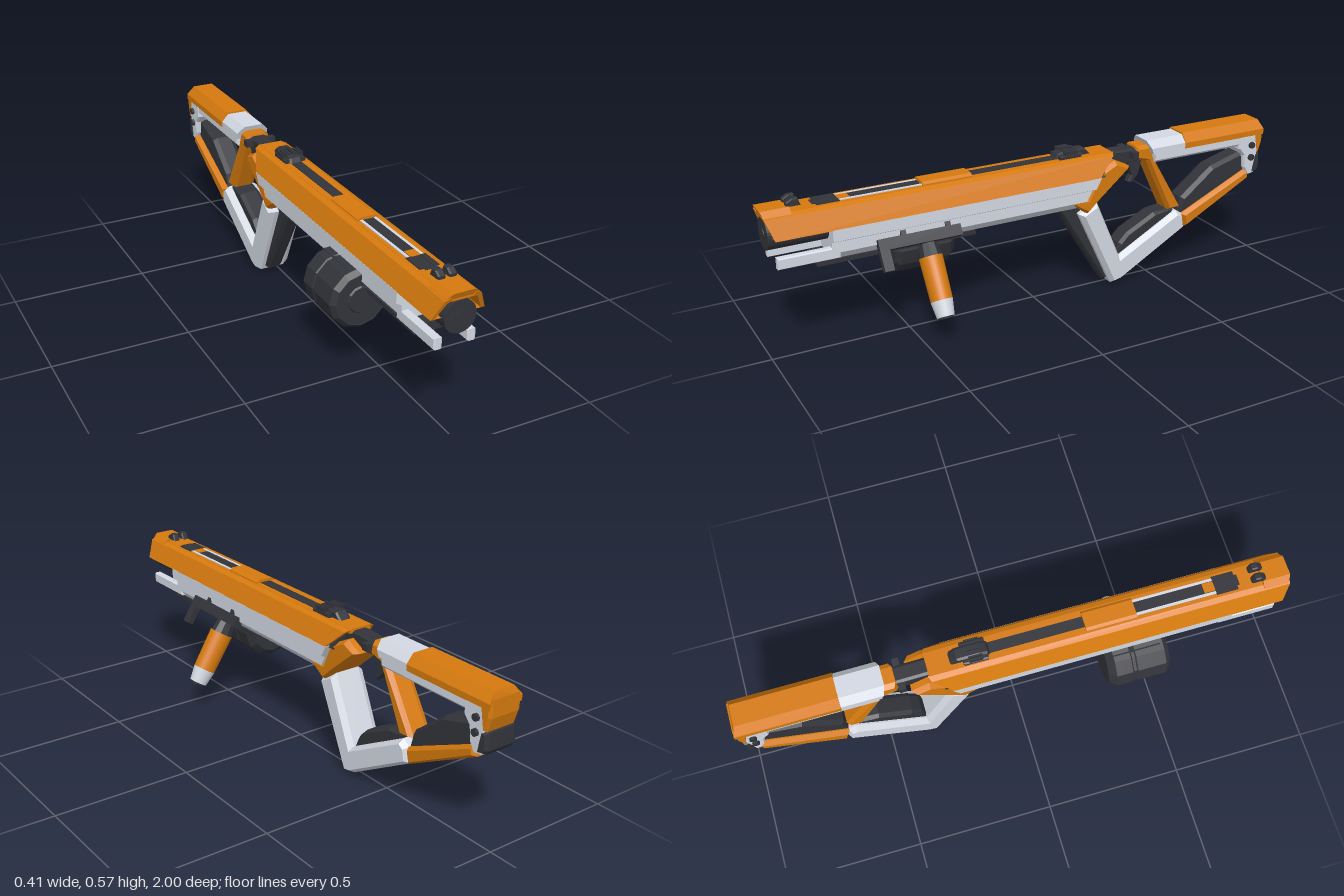
import * as THREE from 'three';

const CX = -0.019; // centre plane of the body
const paint = (color, flat = true) =>
  new THREE.MeshStandardMaterial({ color, flatShading: flat, side: THREE.DoubleSide });
const ORANGE = paint(0xd67a0e), PALE = paint(0xd4d9e3), DARK = paint(0x33343a);
const ORANGE_SMOOTH = paint(0xd67a0e, false), PALE_SMOOTH = paint(0xd4d9e3, false);

export function createModel() {
  const root = new THREE.Group();

  const add = (name, geo, mat, parent = root) => {
    const m = new THREE.Mesh(geo, mat);
    m.name = name;
    parent.add(m);
    return m;
  };
  const shapeOf = (pts) => new THREE.Shape(pts.map(([a, b]) => new THREE.Vector2(a, b)));

  // Side profile of [z, y] points, given a width across x and a chamfer
  const plate = (name, mat, pts, width, bevel = 0.012, x = CX) => {
    const g = new THREE.ExtrudeGeometry(shapeOf(pts), {
      depth: width - 2 * bevel, bevelEnabled: bevel > 0, bevelSegments: 1,
      bevelThickness: bevel, bevelSize: bevel * 0.6, bevelOffset: -bevel * 0.6,
    });
    g.translate(0, 0, -(width - 2 * bevel) / 2).rotateY(-Math.PI / 2).translate(x, 0, 0);
    return add(name, g, mat);
  };

  // Mirrored half section of [x, y] points, run along z; ends may slope with y
  const beam = (name, mat, half, z0, z1, slope0 = () => 0, slope1 = () => 0) => {
    const pts = [...half, ...half.map(([x, y]) => [-x, y]).reverse()];
    const g = new THREE.ExtrudeGeometry(shapeOf(pts), { depth: 1, bevelEnabled: false });
    const p = g.attributes.position;
    for (let i = 0; i < p.count; i++) {
      const y = p.getY(i);
      p.setX(i, p.getX(i) + CX);
      p.setZ(i, p.getZ(i) < 0.5 ? z0 + slope0(y) : z1 + slope1(y));
    }
    return add(name, g, mat);
  };

  const box = (name, mat, x0, x1, y0, y1, z0, z1, parent = root) => {
    const g = new THREE.BoxGeometry(x1 - x0, y1 - y0, z1 - z0);
    g.translate((x0 + x1) / 2, (y0 + y1) / 2, (z0 + z1) / 2);
    return add(name, g, mat, parent);
  };
  const rodZ = (name, mat, r, x, y, z0, z1, n = 32) => {
    const g = new THREE.CylinderGeometry(r, r, z1 - z0, n);
    g.rotateX(Math.PI / 2).translate(x, y, (z0 + z1) / 2);
    return add(name, g, mat);
  };

  // Upper shell, open underneath, with raked ends
  beam('upperShell', ORANGE,
    [[0.094, 0.455], [0.063, 0.522], [0.042, 0.531], [0.036, 0.518], [0.052, 0.512], [0.081, 0.455]].reverse(),
    -0.24, 0.97, (y) => -(y - 0.455) * 1.05, (y) => (y - 0.455) * 0.36);
  beam('shellTop', ORANGE, [[0.044, 0.515], [0.044, 0.531]], -0.315, 0.99);
  beam('muzzleHood', ORANGE, [[0.058, 0.51], [0.058, 0.525], [0.036, 0.544]], 0.9, 0.985,
    () => 0, (y) => (y - 0.51) * 0.44);

  // Lower body
  beam('lowerBody', PALE,
    [[0.05, 0.338], [0.074, 0.366], [0.074, 0.405], [0.094, 0.415], [0.094, 0.456]],
    -0.18, 0.78, (y) => -(y - 0.338) * 0.55);
  beam('innerCore', DARK, [[0.078, 0.45], [0.05, 0.515]], -0.27, 0.77);
  for (const s of [-1, 1]) {
    const x = CX + s * 0.059;
    plate('frontRail', PALE, [[0.75, 0.345], [0.965, 0.345], [0.965, 0.385], [0.75, 0.385]], 0.03, 0.006, x);
  }

  // Barrel
  rodZ('barrel', DARK, 0.056, CX, 0.453, 0.7, 0.985);
  rodZ('muzzleBore', DARK, 0.019, CX, 0.453, 0.98, 0.988, 20);

  // Underside rail
  box('underRail', DARK, CX - 0.057, CX + 0.057, 0.322, 0.338, 0.25, 0.83);
  box('underRailCore', DARK, CX - 0.037, CX + 0.037, 0.336, 0.352, 0.25, 0.83);

  // Top channel, cover and slot
  box('topChannel', DARK, CX - 0.02, CX + 0.02, 0.52, 0.533, -0.2, 0.25);
  beam('topCover', ORANGE, [[0.038, 0.525], [0.038, 0.535], [0.028, 0.543]], 0.25, 0.435);
  box('topSlot', DARK, CX - 0.02, CX + 0.02, 0.52, 0.533, 0.435, 0.82);
  box('slotBlock', ORANGE, CX - 0.018, CX + 0.018, 0.525, 0.535, 0.69, 0.73);
  for (const s of [-1, 1]) {
    box('slotEdge', PALE, CX + s * 0.025 - 0.005, CX + s * 0.025 + 0.005, 0.52, 0.534, 0.435, 0.73);
    box('slotStop', DARK, CX + s * 0.025 - 0.01, CX + s * 0.025 + 0.01, 0.52, 0.535, 0.73, 0.81);
  }

  // Sights
  plate('rearSightBase', DARK, [[-0.09, 0.53], [-0.1, 0.55], [-0.13, 0.556], [-0.21, 0.556], [-0.235, 0.53]], 0.05, 0.008);
  plate('rearSightWing', DARK, [[-0.1, 0.53], [-0.1, 0.544], [-0.19, 0.548], [-0.19, 0.53]], 0.084, 0.006);
  for (let i = -3; i <= 3; i++) {
    const x = CX + i * 0.0125;
    box('sightPin', DARK, x - 0.003, x + 0.003, 0.54, i === 0 ? 0.567 : 0.56, -0.17, -0.12);
  }
  for (const s of [-1, 1]) {
    const x = CX + s * 0.02;
    plate('frontSight', DARK, [[0.91, 0.54], [0.91, 0.555], [0.89, 0.567], [0.87, 0.567], [0.86, 0.54]], 0.026, 0.005, x);
  }

  // Drum and its feed block
  const drumProfile = [[0, 0], [0.085, 0], [0.11, 0.025], [0.11, 0.085], [0.106, 0.09], [0.106, 0.1],
    [0.11, 0.105], [0.11, 0.21], [0.094, 0.228], [0.094, 0.222], [0.05, 0.222], [0.045, 0.228], [0, 0.228]];
  const drum = new THREE.LatheGeometry(drumProfile.map(([r, h]) => new THREE.Vector2(r, h)), 12);
  drum.rotateX(Math.PI / 2).translate(-0.095, 0.301, 0.31);
  add('drum', drum, DARK);
  box('drumFeed', DARK, -0.13, 0.01, 0.31, 0.403, 0.33, 0.51);

  // Canted foregrip: local y runs along the handle
  const grip = new THREE.Group();
  grip.name = 'foregrip';
  grip.position.set(0.065, 0.285, 0.436);
  grip.rotation.z = 0.562;
  grip.scale.z = 0.88;
  root.add(grip);
  const section = (name, mat, rTop, rBottom, y0, y1, n) =>
    add(name, new THREE.CylinderGeometry(rTop, rBottom, y1 - y0, n).translate(0, (y0 + y1) / 2, 0), mat, grip);
  section('gripNeck', DARK, 0.03, 0.045, 0, 0.1, 10);
  section('gripSleeve', ORANGE_SMOOTH, 0.047, 0.044, -0.155, 0, 28);
  section('gripTip', PALE_SMOOTH, 0.044, 0.035, -0.213, -0.155, 28);
  section('gripCap', DARK, 0.031, 0.028, -0.219, -0.21, 20);

  // Foregrip mount on the body side
  const mount = new THREE.Group();
  mount.name = 'gripMount';
  mount.position.set(0.058, 0.37, 0);
  mount.rotation.z = 0.562;
  root.add(mount);
  box('mountPlate', DARK, -0.02, 0.014, -0.028, 0.012, 0.32, 0.62, mount);
  box('mountLeg', DARK, -0.01, 0.014, -0.1, 0.012, 0.59, 0.625, mount);
  for (const z of [0.365, 0.53]) box('mountStud', DARK, -0.002, 0.014, 0.01, 0.028, z - 0.01, z + 0.01, mount);

  // Receiver behind the body
  plate('receiverCheek', ORANGE,
    [[-0.125, 0.37], [-0.205, 0.31], [-0.26, 0.36], [-0.385, 0.468], [-0.32, 0.5], [-0.24, 0.46], [-0.2, 0.375]], 0.15, 0.02);
  plate('receiverBar', DARK, [[-0.27, 0.44], [-0.27, 0.525], [-0.43, 0.52], [-0.5, 0.51], [-0.5, 0.475], [-0.38, 0.465]], 0.065, 0.01);
  box('receiverPin', DARK, CX - 0.06, CX + 0.06, 0.49, 0.515, -0.425, -0.4);
  plate('trigger', DARK, [[-0.4, 0.475], [-0.425, 0.41], [-0.41, 0.385], [-0.425, 0.378], [-0.455, 0.41], [-0.47, 0.475]], 0.03, 0.004);
  plate('rearStrut', ORANGE,
    [[-0.43, 0.528], [-0.485, 0.528], [-0.515, 0.46], [-0.64, 0.25], [-0.58, 0.245], [-0.475, 0.465], [-0.42, 0.48]], 0.094, 0.018);

  // Hand frame: front leg and lower arm
  plate('handFrame', PALE,
    [[-0.175, 0.31], [-0.25, 0.35], [-0.355, 0.108], [-0.61, 0.245], [-0.64, 0.225], [-0.65, 0.17], [-0.36, 0.008], [-0.32, 0]],
    0.14, 0.022);
  plate('legFront', DARK, [[-0.1, 0.34], [-0.2, 0.335], [-0.345, 0.01], [-0.3, 0.008], [-0.13, 0.285]], 0.065, 0.014);
  plate('frameLiner', DARK, [[-0.345, 0.09], [-0.365, 0.15], [-0.4, 0.185], [-0.52, 0.245], [-0.61, 0.255], [-0.6, 0.22]], 0.085, 0.015);

  // Rear stock
  plate('stockBar', DARK, [[-0.63, 0.21], [-0.645, 0.285], [-0.78, 0.39], [-0.92, 0.43], [-0.95, 0.35]], 0.09, 0.018);
  plate('stockLower', ORANGE, [[-0.635, 0.225], [-0.65, 0.168], [-0.948, 0.322], [-0.94, 0.362]], 0.134, 0.018);
  beam('stockBeam', PALE, [[0.05, 0.46], [0.06, 0.47], [0.06, 0.505]], -0.95, -0.5);
  beam('stockCollar', PALE, [[0.064, 0.495], [0.064, 0.52], [0.038, 0.547]], -0.65, -0.49,
    () => 0, (y) => (y - 0.495) * 0.4);
  beam('stockCover', ORANGE, [[0.067, 0.498], [0.067, 0.52], [0.04, 0.553]], -1, -0.63,
    (y) => Math.max(0, y - 0.53) * 0.5);
  plate('stockHeel', ORANGE, [[-0.955, 0.51], [-1, 0.53], [-1, 0.47], [-0.985, 0.42], [-0.972, 0.42]], 0.132, 0.012);
  plate('buttFrame', PALE,
    [[-0.89, 0.5], [-0.89, 0.45], [-0.915, 0.42], [-0.92, 0.37], [-0.94, 0.335], [-0.97, 0.34], [-0.98, 0.43], [-0.975, 0.5]], 0.128, 0.008);
  plate('buttPad', DARK, [[-0.95, 0.34], [-0.985, 0.345], [-0.995, 0.36], [-0.993, 0.42], [-0.965, 0.425]], 0.132, 0.014);
  for (const s of [-1, 1]) for (const y of [0.41, 0.46]) {
    const g = new THREE.CylinderGeometry(0.013, 0.013, 0.014, 10);
    g.rotateZ(Math.PI / 2).translate(CX + s * 0.067, y, -0.947);
    add('stockBolt', g, DARK);
  }
  return root;
}
